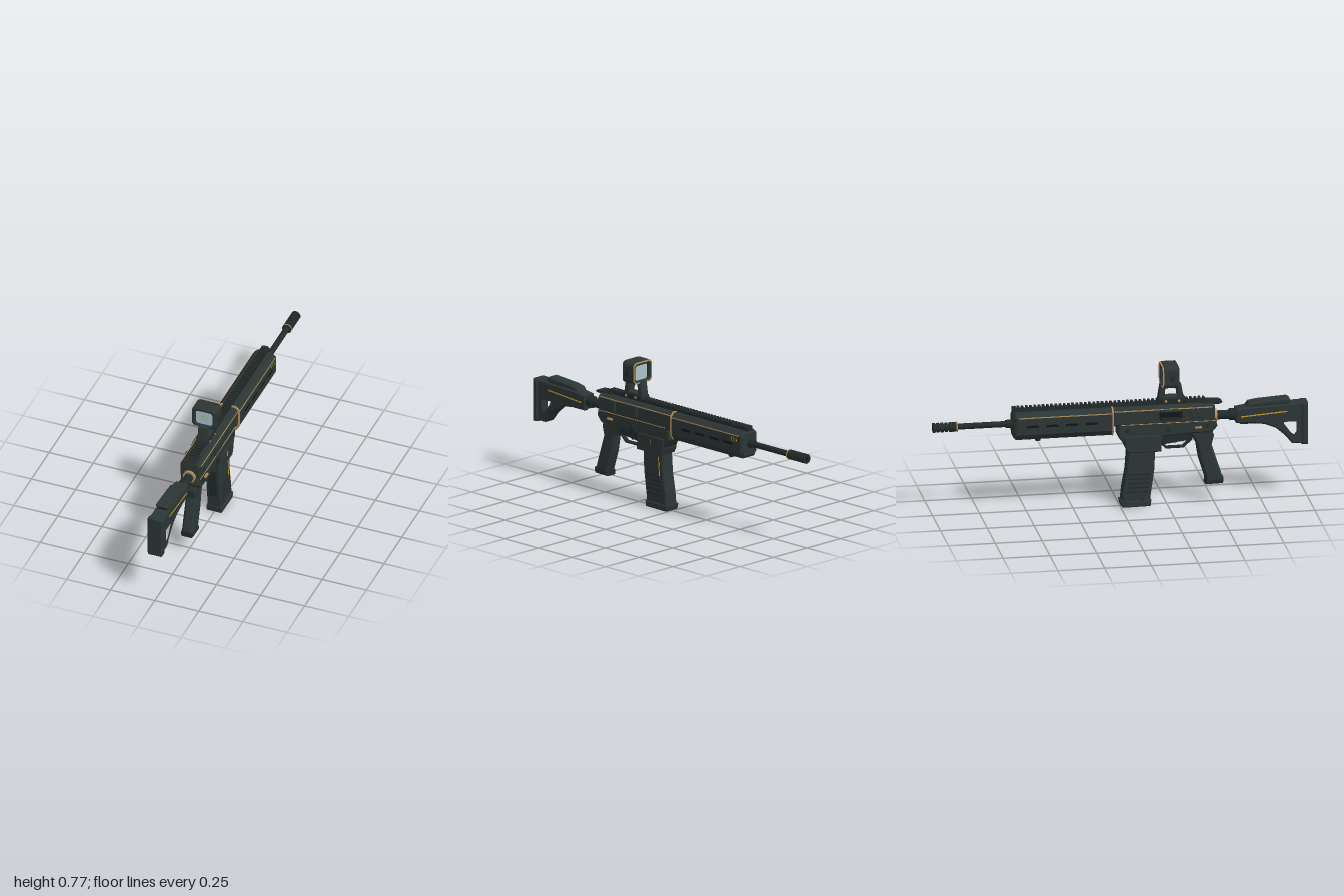
import * as THREE from 'three';

const mat = (name, color) => Object.assign(new THREE.MeshStandardMaterial({ color }), { name });

export function createModel() {
  const root = new THREE.Group();
  root.name = 'rifle';
  const body = mat('charcoal body', 0x2c3635);
  const dark = mat('dark metal', 0x222a2a);
  const black = mat('black recess', 0x121717);
  const bronze = mat('bronze trim', 0xb58d55);
  const gold = mat('gold paint', 0xc99a1e);
  const glass = mat('pale lens', 0xa9c3ca);

  const add = (name, geo, m, x = 0, y = 0, z = 0) => {
    const mesh = new THREE.Mesh(geo, m);
    mesh.name = name;
    mesh.position.set(x, y, z);
    root.add(mesh);
    return mesh;
  };
  const box = (name, m, w, h, d, x, y, z) => add(name, new THREE.BoxGeometry(w, h, d), m, x, y, z);
  const both = fn => [-1, 1].forEach(fn);
  const poly = pts => new THREE.Shape(pts.map(p => new THREE.Vector2(...p)));
  const extrude = (shape, depth, bevel) => new THREE.ExtrudeGeometry(shape, {
    depth: depth - 2 * bevel, bevelEnabled: bevel > 0, bevelThickness: bevel,
    bevelSize: bevel, bevelOffset: -bevel, bevelSegments: 1, curveSegments: 8,
  }).translate(0, 0, bevel - depth / 2);
  // side profile given as (z, y), extruded across x
  const side = (name, m, shape, width, bevel = 0.008, x = 0) =>
    add(name, extrude(Array.isArray(shape) ? poly(shape) : shape, width, bevel).rotateY(-Math.PI / 2), m, x);
  // front section given as (x, y), extruded from z0 to z1
  const section = (name, m, shape, z0, z1, bevel = 0.008) =>
    add(name, extrude(shape, z1 - z0, bevel), m, 0, 0, (z0 + z1) / 2);
  const rod = (name, m, r0, r1, z0, z1, y, x = 0, n = 20) =>
    add(name, new THREE.CylinderGeometry(r1, r0, z1 - z0, n).rotateX(Math.PI / 2), m, x, y, (z0 + z1) / 2);
  const pin = (name, m, r, len, x, y, z) =>
    add(name, new THREE.CylinderGeometry(r, r, len, 14).rotateZ(Math.PI / 2), m, x, y, z);
  const octagon = (w, y0, y1, top, bottom) => poly([[-w + bottom, y0], [w - bottom, y0], [w, y0 + bottom * 1.5],
    [w, y1 - top], [w - top, y1], [-w + top, y1], [-w, y1 - top], [-w, y0 + bottom * 1.5]]);
  const roundRect = (w, h, r, cy) => {
    const s = new THREE.Shape();
    s.absarc(w - r, cy + h - r, r, 0, Math.PI / 2);
    s.absarc(-w + r, cy + h - r, r, Math.PI / 2, Math.PI);
    s.absarc(-w + r, cy - h + r, r, Math.PI, Math.PI * 1.5);
    s.absarc(w - r, cy - h + r, r, Math.PI * 1.5, Math.PI * 2);
    return s;
  };

  // Stock with open triangle, butt plate and cheek rest
  const stock = poly([[0.615, 0.435], [0.615, 0.51], [0.68, 0.52], [0.97, 0.53], [0.97, 0.305], [0.915, 0.305],
    [0.88, 0.35], [0.83, 0.395], [0.77, 0.42], [0.7, 0.43]]);
  stock.holes.push(poly([[0.945, 0.435], [0.945, 0.37], [0.925, 0.345], [0.9, 0.365], [0.86, 0.42], [0.87, 0.437]]));
  side('stock', body, stock, 0.076);
  side('buttPlate', body, [[0.965, 0.3], [0.965, 0.53], [1, 0.53], [1, 0.297]], 0.088);
  side('cheekRest', body, [[0.67, 0.52], [0.685, 0.54], [0.73, 0.548], [0.89, 0.558], [0.905, 0.55], [0.895, 0.525]], 0.07);
  side('stockLatch', dark, [[0.64, 0.42], [0.66, 0.44], [0.74, 0.44], [0.73, 0.42]], 0.03, 0.004);
  both(s => {
    const stripe = box('stockStripe', gold, 0.003, 0.006, 0.25, s * 0.0385, 0.478, 0.765);
    stripe.rotation.x = -0.07;
  });
  rod('bufferTube', dark, 0.024, 0.024, 0.49, 0.63, 0.475);
  rod('bufferRing', bronze, 0.035, 0.035, 0.503, 0.516, 0.475);
  rod('bufferNut', dark, 0.032, 0.032, 0.585, 0.618, 0.475);

  // Receiver halves
  side('lowerReceiver', body, [[0.505, 0.47], [0.515, 0.43], [0.485, 0.395], [0.36, 0.395], [0.22, 0.385], [0.21, 0.33],
    [0.035, 0.33], [0.012, 0.36], [-0.015, 0.395], [-0.02, 0.47]], 0.102);
  section('upperReceiver', body, octagon(0.057, 0.46, 0.555, 0.018, 0.005), -0.045, 0.5, 0.006);
  side('magazineWell', body, [[0.215, 0.305], [0.215, 0.335], [0.2, 0.4], [0.01, 0.4], [0.022, 0.335], [0.035, 0.305]], 0.112, 0.006);
  both(s => {
    box('receiverStripe', bronze, 0.003, 0.005, 0.52, s * 0.0575, 0.54, 0.225);
    box('receiverSeam', bronze, 0.003, 0.003, 0.5, s * 0.0575, 0.464, 0.25);
    side('receiverBoss', body, [[0.365, 0.485], [0.365, 0.535], [0.4, 0.54], [0.43, 0.5], [0.43, 0.485]], 0.018, 0.004, s * 0.059);
    side('sidePlate', body, [[0.205, 0.48], [0.205, 0.54], [0.3, 0.54], [0.3, 0.48]], 0.014, 0.004, s * 0.06);
    [[0.46, 0.435], [0.25, 0.425], [0.03, 0.43]].forEach(([z, y]) => pin('receiverPin', dark, 0.009, 0.01, s * 0.052, y, z));
    box('selector', bronze, 0.012, 0.009, 0.035, s * 0.056, 0.43, 0.41);
  });
  box('ejectionPort', black, 0.004, 0.035, 0.12, -0.067, 0.51, 0.262);
  box('portCover', dark, 0.006, 0.014, 0.11, -0.067, 0.492, 0.262);
  box('boltRelease', dark, 0.014, 0.02, 0.03, 0.056, 0.41, 0.24);
  box('wellMark', gold, 0.003, 0.03, 0.005, 0.0567, 0.365, 0.11);
  side('chargingHandle', dark, [[0.43, 0.548], [0.43, 0.566], [0.53, 0.562], [0.545, 0.553], [0.53, 0.545]], 0.06, 0.004);

  // Pistol grip, trigger and guard
  side('grip', body, [[0.36, 0.4], [0.49, 0.4], [0.5, 0.37], [0.487, 0.32], [0.535, 0.17], [0.547, 0.125], [0.54, 0.11],
    [0.46, 0.107], [0.452, 0.14], [0.42, 0.24], [0.405, 0.33], [0.385, 0.365]], 0.064, 0.012);
  side('gripCap', dark, [[0.452, 0.102], [0.455, 0.13], [0.55, 0.135], [0.547, 0.104]], 0.068, 0.006);
  const guard = poly([[0.385, 0.392], [0.385, 0.35], [0.34, 0.307], [0.245, 0.307], [0.22, 0.33], [0.22, 0.392]]);
  guard.holes.push(poly([[0.374, 0.392 - 0.001], [0.23, 0.391], [0.23, 0.335], [0.25, 0.317], [0.336, 0.317], [0.374, 0.354]]));
  side('triggerGuard', dark, guard, 0.026, 0.002);
  side('trigger', bronze, [[0.318, 0.395], [0.3, 0.395], [0.302, 0.36], [0.288, 0.335], [0.294, 0.328], [0.312, 0.35]], 0.016, 0.002);

  // Curved magazine with side ribs and floor plate
  side('magazine', body, [[0.182, 0.31], [0.178, 0.2], [0.155, 0.03], [0.005, 0.03], [0.012, 0.1], [0.03, 0.2], [0.038, 0.31]], 0.08, 0.007);
  side('magazineFloor', body, [[0.158, 0.002], [0.162, 0.035], [-0.003, 0.035], [0, 0.01], [0.01, 0]], 0.089, 0.005);
  side('magazineSpine', dark, [[0.185, 0.3], [0.181, 0.2], [0.169, 0.11], [0.15, 0.11], [0.15, 0.3]], 0.05, 0.004);
  for (let i = 0; i < 5; i++) {
    const y = 0.085 + i * 0.024;
    both(s => box('magazineRib', dark, 0.006, 0.008, 0.115, s * 0.041, y, 0.078 + y * 0.12));
  }
  const magStripe = box('magazineStripe', gold, 0.003, 0.12, 0.005, 0.0405, 0.23, 0.06);
  magStripe.rotation.x = 0.08;

  // Handguard with collar, stripes and vent slots
  section('handguard', body, octagon(0.062, 0.41, 0.556, 0.022, 0.02), -0.575, -0.04, 0.012);
  section('handguardCollar', bronze, octagon(0.0635, 0.408, 0.56, 0.022, 0.02), -0.05, -0.042, 0);
  both(s => {
    box('handguardStripe', bronze, 0.003, 0.005, 0.5, s * 0.0615, 0.533, -0.3);
    for (let i = 0; i < 4; i++) {
      box('ventSlot', black, 0.003, 0.013, 0.065, s * 0.0615, 0.485, -0.16 - i * 0.105);
    }
  });
  for (let i = 0; i < 3; i++) {
    const tick = box('handguardTick', gold, 0.003, 0.022, 0.004, 0.0616, 0.51, -0.5 - i * 0.018);
    tick.rotation.x = 0.4;
  }
  add('slingStud', new THREE.CylinderGeometry(0.02, 0.014, 0.025, 14), dark, 0, 0.401, -0.438);

  // Toothed top rail
  box('railBase', dark, 0.036, 0.016, 1.05, 0, 0.561, -0.05);
  for (let z = -0.565; z < 0.47; z += 0.0225) box('railTooth', dark, 0.044, 0.011, 0.012, 0, 0.574, z);
  box('frontSightFoot', dark, 0.03, 0.012, 0.02, 0, 0.575, -0.565);

  // Barrel and ringed muzzle
  rod('barrel', dark, 0.016, 0.016, -0.88, -0.56, 0.488);
  rod('barrelCollar', dark, 0.022, 0.022, -0.61, -0.57, 0.488);
  rod('muzzleBase', dark, 0.026, 0.026, -0.895, -0.868, 0.488);
  rod('muzzleRing', bronze, 0.0265, 0.0265, -0.876, -0.87, 0.488);
  rod('muzzleCore', dark, 0.019, 0.019, -0.995, -0.89, 0.488);
  for (let i = 0; i < 5; i++) rod('muzzleFin', dark, 0.026, 0.026, -1 + i * 0.022, -0.987 + i * 0.022, 0.488);
  rod('bore', black, 0.011, 0.011, -1.0008, -0.995, 0.488);

  // Sight: clamp, open stand, rounded hood, lens and reticle
  side('sightClamp', dark, [[0.355, 0.568], [0.345, 0.592], [0.205, 0.592], [0.195, 0.568]], 0.062, 0.004);
  [0.31, 0.24].forEach(z => {
    pin('clampScrew', dark, 0.009, 0.074, 0, 0.578, z);
    pin('screwCap', bronze, 0.007, 0.004, 0.037, 0.578, z);
    pin('screwCap', bronze, 0.007, 0.004, -0.037, 0.578, z);
  });
  const stand = poly([[0.338, 0.585], [0.325, 0.665], [0.215, 0.665], [0.202, 0.585]]);
  stand.holes.push(poly([[0.305, 0.6], [0.235, 0.6], [0.24, 0.645], [0.3, 0.645]]));
  side('sightStand', body, stand, 0.05, 0.004);
  const hood = roundRect(0.069, 0.06, 0.024, 0.715);
  hood.holes.push(roundRect(0.048, 0.042, 0.016, 0.712));
  section('sightHood', body, hood, 0.222, 0.308, 0.006);
  const rim = roundRect(0.067, 0.058, 0.024, 0.715);
  rim.holes.push(roundRect(0.061, 0.052, 0.02, 0.715));
  section('sightRim', bronze, rim, 0.219, 0.226, 0);
  section('lens', glass, roundRect(0.05, 0.044, 0.016, 0.712), 0.238, 0.295, 0);
  both(s => pin('sightKnob', dark, 0.014, 0.008, s * 0.069, 0.71, 0.27));
  add('reticleRing', new THREE.TorusGeometry(0.012, 0.0012, 6, 28), gold, 0, 0.712, 0.296);
  add('reticleDot', new THREE.CircleGeometry(0.002, 10), gold, 0, 0.712, 0.297);
  [Math.PI / 2, Math.PI * 7 / 6, Math.PI * 11 / 6].forEach(a => {
    const t = box('reticleTick', gold, 0.008, 0.002, 0.002, Math.cos(a) * 0.017, 0.712 + Math.sin(a) * 0.017, 0.296);
    t.rotation.z = a;
  });
  return root;
}
